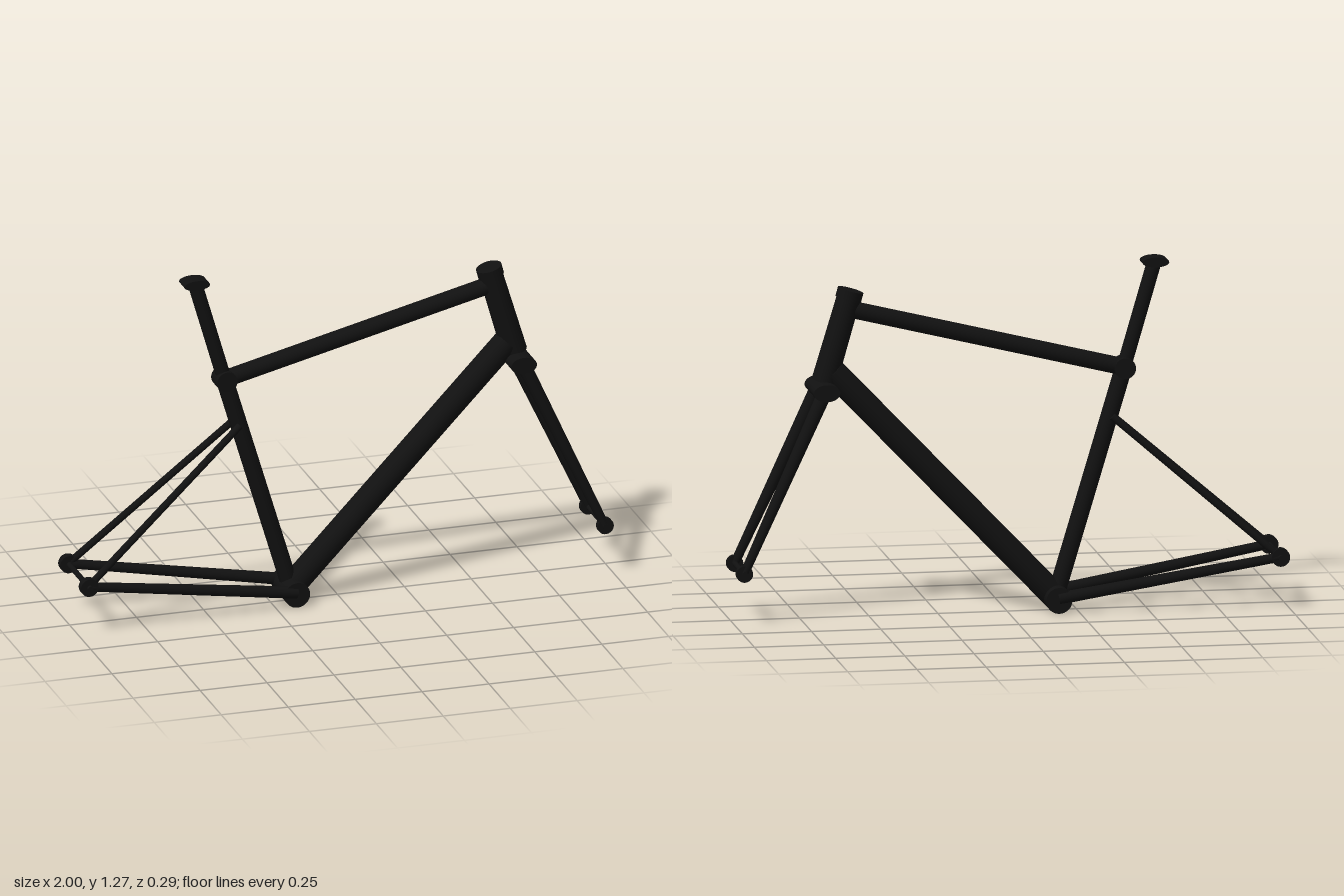
import * as THREE from 'three';

export function createModel() {
  const model = new THREE.Group();
  model.name = 'bicycleFrame';
  const black = new THREE.MeshStandardMaterial({ color: 0x111111 });
  black.name = 'black';
  const up = new THREE.Vector3(0, 1, 0);

  // Round tube between two points, with a radius at each end
  function tube(name, from, to, r0, r1 = r0) {
    const a = new THREE.Vector3(...from);
    const b = new THREE.Vector3(...to);
    const dir = b.clone().sub(a);
    const mesh = new THREE.Mesh(new THREE.CylinderGeometry(r1, r0, dir.length(), 24), black);
    mesh.name = name;
    mesh.position.copy(a).add(b).multiplyScalar(0.5);
    mesh.quaternion.setFromUnitVectors(up, dir.normalize());
    model.add(mesh);
  }

  // Elliptical barrel lying along z
  function barrel(name, x, y, z, rx, ry, width) {
    const geometry = new THREE.CylinderGeometry(1, 1, width, 32);
    geometry.rotateX(Math.PI / 2).scale(rx, ry, 1);
    const mesh = new THREE.Mesh(geometry, black);
    mesh.name = name;
    mesh.position.set(x, y, z);
    model.add(mesh);
  }

  // Main triangle
  const bottom = [-0.175, 0.047, 0];
  const seatTop = [-0.422, 0.872, 0];
  tube('seatTube', bottom, seatTop, 0.031);
  tube('topTube', seatTop, [0.578, 1.118, 0], 0.031);
  tube('downTube', bottom, [0.632, 0.893, 0], 0.047);
  tube('headTube', [0.661, 0.855, 0], [0.57, 1.165, 0], 0.046, 0.043);
  tube('headsetCap', [0.574, 1.152, 0], [0.565, 1.185, 0], 0.047);
  barrel('bottomBracket', ...bottom, 0.047, 0.047, 0.166);

  // Seat post
  tube('seatPost', seatTop, [-0.532, 1.25, 0], 0.026);
  barrel('seatClamp', -0.422, 0.872, 0, 0.038, 0.038, 0.072);
  barrel('saddleClamp', -0.533, 1.253, 0, 0.048, 0.018, 0.064);

  // Fork crown and axles
  barrel('forkCrown', 0.667, 0.83, 0, 0.048, 0.031, 0.194);
  barrel('frontAxle', 0.967, 0.187, 0, 0.01, 0.01, 0.232);
  barrel('rearAxle', -0.967, 0.187, 0, 0.01, 0.01, 0.292);

  // Mirrored stays, fork legs and dropouts
  for (const [side, s] of [['front', 1], ['back', -1]]) {
    tube(side + 'ForkLeg', [0.672, 0.825, 0.07 * s], [0.967, 0.187, 0.1 * s], 0.026, 0.016);
    tube(side + 'Chainstay', [-0.175, 0.053, 0.07 * s], [-0.967, 0.187, 0.12 * s], 0.022, 0.017);
    tube(side + 'Seatstay', [-0.375, 0.7, 0.033 * s], [-0.967, 0.187, 0.12 * s], 0.013);
    barrel(side + 'ForkDropout', 0.967, 0.187, 0.101 * s, 0.03, 0.03, 0.022);
    barrel(side + 'RearDropout', -0.967, 0.187, 0.121 * s, 0.033, 0.033, 0.028);
  }
  return model;
}
